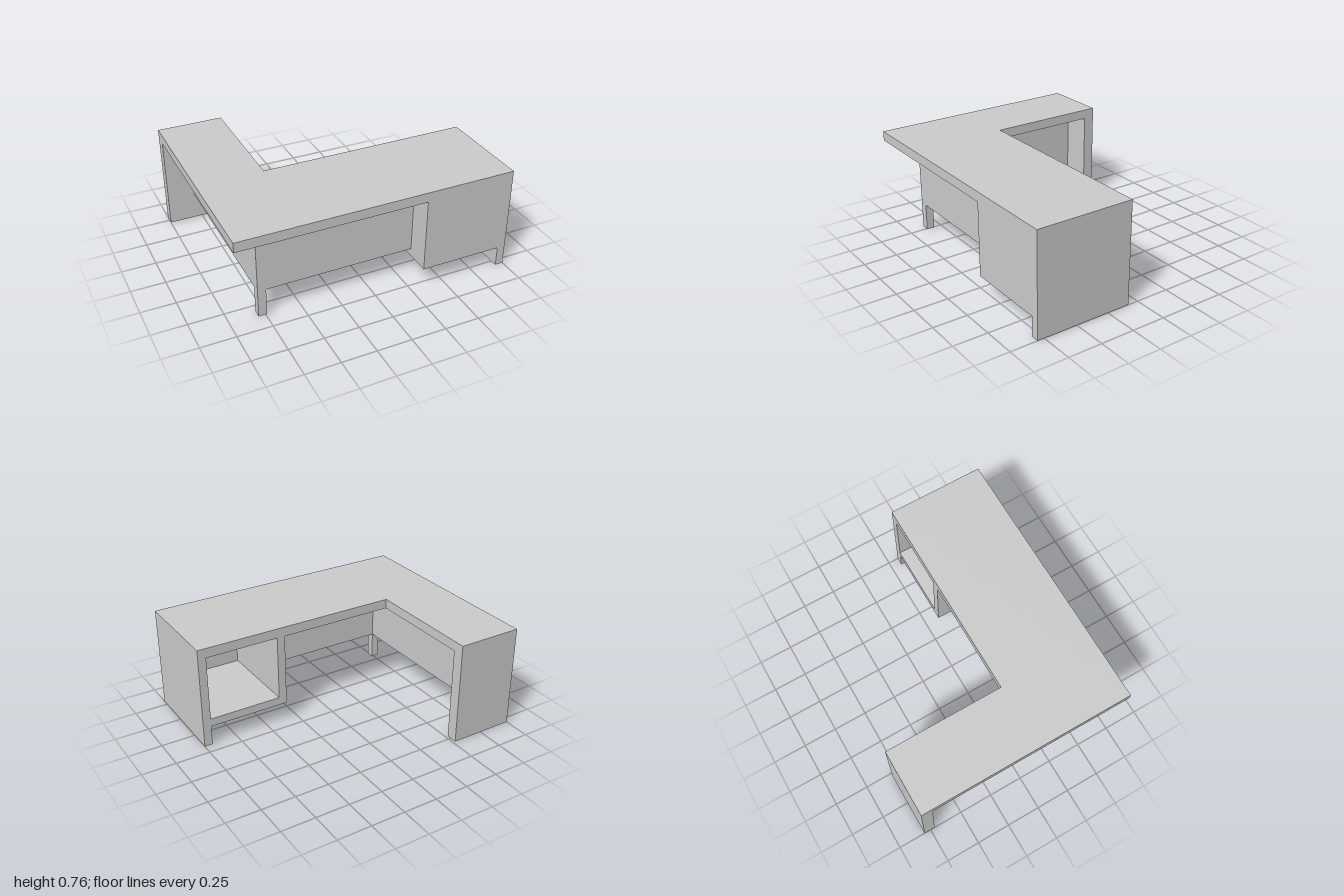
import * as THREE from 'three';

const material = new THREE.MeshStandardMaterial({ color: 0xcccccc, flatShading: true });

export function createModel() {
  const desk = new THREE.Group();
  desk.name = 'cornerDesk';

  const top = 0.757, under = 0.686; // worktop upper and lower faces

  // Box given by its extents along each axis
  function panel(name, [x0, x1], [y0, y1], [z0, z1]) {
    const mesh = new THREE.Mesh(new THREE.BoxGeometry(x1 - x0, y1 - y0, z1 - z0), material);
    mesh.position.set((x0 + x1) / 2, (y0 + y1) / 2, (z0 + z1) / 2);
    mesh.name = name;
    desk.add(mesh);
  }

  // L-shaped worktop, drawn in plan (shape y = -z) and extruded upwards
  const plan = new THREE.Shape([
    [-1, -0.8], [1, -0.8], [1, -0.08], [-0.52, -0.08], [-0.52, 0.8], [-1, 0.8],
  ].map(([x, y]) => new THREE.Vector2(x, y)));
  const slab = new THREE.ExtrudeGeometry(plan, { depth: top - under, bevelEnabled: false });
  slab.rotateX(-Math.PI / 2);
  const worktop = new THREE.Mesh(slab, material);
  worktop.position.y = under;
  worktop.name = 'worktop';
  desk.add(worktop);

  // Full-height end panels
  panel('cabinetEndPanel', [0.94, 1], [0, under], [0.08, 0.8]);
  panel('returnEndPanel', [-1, -0.52], [0, under], [-0.8, -0.717]);

  // Cabinet, open at the back
  panel('cabinetDivider', [0.34, 0.4], [0.147, under], [0.08, 0.8]);
  panel('cabinetFloor', [0.4, 0.94], [0.147, 0.207], [0.08, 0.8]);
  panel('cabinetFront', [0.4, 0.94], [0.207, under], [0.74, 0.8]);

  // Recessed modesty panels meeting at the corner leg
  panel('frontModestyPanel', [-0.74, 0.34], [0.204, under], [0.56, 0.62]);
  panel('sideModestyPanel', [-0.8, -0.74], [0.204, under], [-0.717, 0.56]);
  panel('cornerLeg', [-0.8, -0.74], [0, under], [0.56, 0.62]);

  return desk;
}
